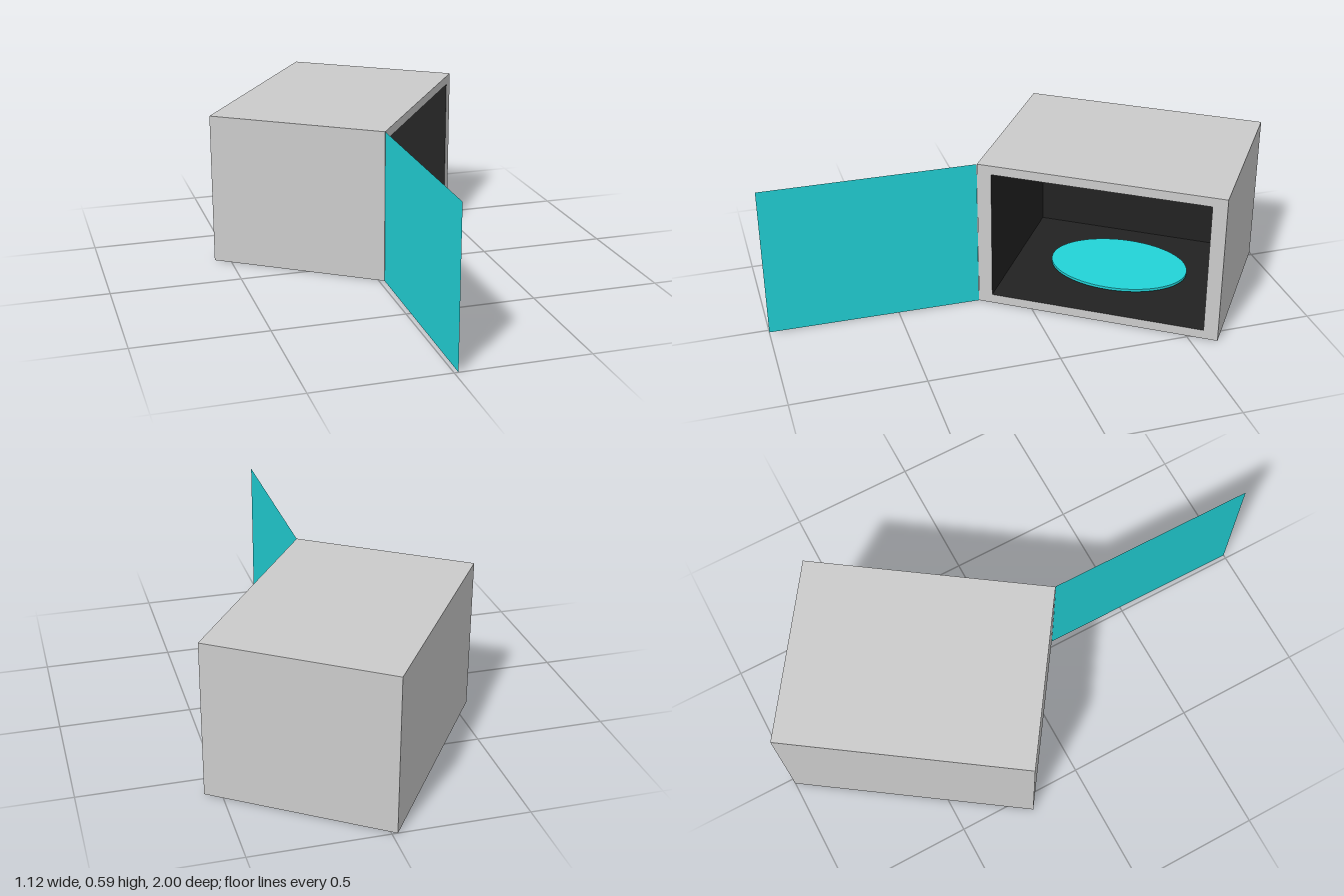
import * as THREE from 'three';

const W = 0.946, H = 0.594, D = 0.706; // body size
const SIDE = 0.055, EDGE = 0.036; // wall thicknesses

const grey = new THREE.MeshStandardMaterial({ color: 0xcccccc, side: THREE.DoubleSide });
const black = new THREE.MeshStandardMaterial({ color: 0x222222, side: THREE.DoubleSide });
const teal = new THREE.MeshStandardMaterial({ color: 0x22d3d8, side: THREE.DoubleSide });

function addMesh(parent, name, geometry, material, x = 0, y = 0, z = 0) {
  const mesh = new THREE.Mesh(geometry, material);
  mesh.name = name;
  mesh.position.set(x, y, z);
  parent.add(mesh);
  return mesh;
}

// Box without its +z face
function openBox(w, h, d) {
  const geo = new THREE.BoxGeometry(w, h, d);
  const index = Array.from(geo.index.array);
  index.splice(24, 6);
  geo.setIndex(index);
  geo.clearGroups();
  return geo;
}

function rectangle(target, w, h) {
  target.moveTo(-w / 2, -h / 2);
  target.lineTo(w / 2, -h / 2);
  target.lineTo(w / 2, h / 2);
  target.lineTo(-w / 2, h / 2);
  target.closePath();
  return target;
}

export function createModel() {
  const model = new THREE.Group();
  model.name = 'microwaveOven';

  // Oven body, turned on the ground
  const oven = new THREE.Group();
  oven.name = 'oven';
  oven.position.set(0, 0, -0.411);
  oven.rotation.y = THREE.MathUtils.degToRad(55.25);
  model.add(oven);

  const cw = W - 2 * SIDE, ch = H - 2 * EDGE, cd = D - EDGE;
  addMesh(oven, 'casing', openBox(W, H, D), grey, 0, H / 2, 0);

  // Front frame around the opening
  const frame = rectangle(new THREE.Shape(), W, H);
  frame.holes.push(rectangle(new THREE.Path(), cw, ch));
  addMesh(oven, 'frontFrame', new THREE.ShapeGeometry(frame), grey, 0, H / 2, D / 2);

  // Dark cooking chamber
  addMesh(oven, 'chamber', openBox(cw, ch, cd), black, 0, H / 2, EDGE / 2);

  // Oval turntable plate
  const plate = addMesh(oven, 'turntable', new THREE.CylinderGeometry(1, 1, 0.011, 64), teal, 0, 0.0515, 0);
  plate.scale.set(0.275, 1, 0.195);

  // Thin door, swung open on the left corner
  const door = addMesh(model, 'door', new THREE.PlaneGeometry(0.82, H), teal, 0.018, H / 2, 0.59);
  door.rotation.y = Math.atan2(0.82, 0.006);

  return model;
}
